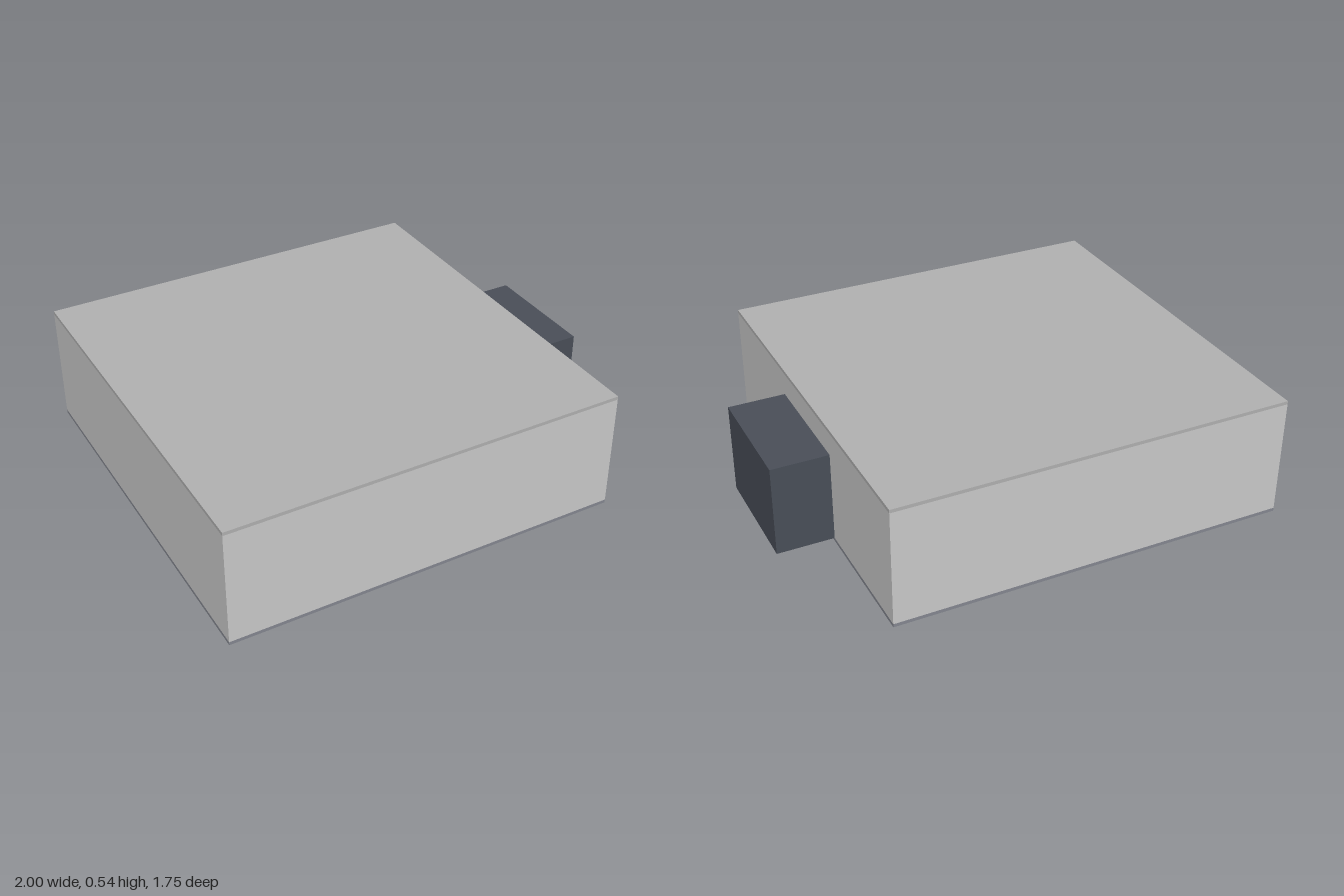
import * as THREE from 'three';

const mat = (color) => new THREE.MeshStandardMaterial({ color });

// Box given by its lower and upper corners
function block(name, [x0, y0, z0], [x1, y1, z1], material) {
  const mesh = new THREE.Mesh(new THREE.BoxGeometry(x1 - x0, y1 - y0, z1 - z0), material);
  mesh.position.set((x0 + x1) / 2, (y0 + y1) / 2, (z0 + z1) / 2);
  mesh.name = name;
  return mesh;
}

export function createModel() {
  const model = new THREE.Group();
  model.name = 'boxWithSideHousing';
  const D = 0.875;

  // Main case: base plate, walls and lid stacked flush
  model.add(
    block('basePlate', [-1, 0, -D], [0.75, 0.015, D], mat(0x858891)),
    block('caseBody', [-1, 0.015, -D], [0.75, 0.525, D], mat(0xcacbce)),
    block('lid', [-1, 0.525, -D], [0.75, 0.54, D], mat(0xb2b2b2))
  );

  // Side housing with a recess underneath, open towards the case
  const dark = mat(0x4a4f59);
  const housing = new THREE.Group();
  housing.name = 'sideHousing';
  const floor = 0.015, recessTop = 0.085, w = 0.265, inner = 0.155;
  housing.add(
    block('housingBody', [0.75, recessTop, -w], [1, 0.42, w], dark),
    block('outerRim', [0.93, floor, -w], [1, recessTop, w], dark),
    block('backRim', [0.75, floor, -w], [0.93, recessTop, -inner], dark),
    block('frontRim', [0.75, floor, inner], [0.93, recessTop, w], dark)
  );
  model.add(housing);
  return model;
}
